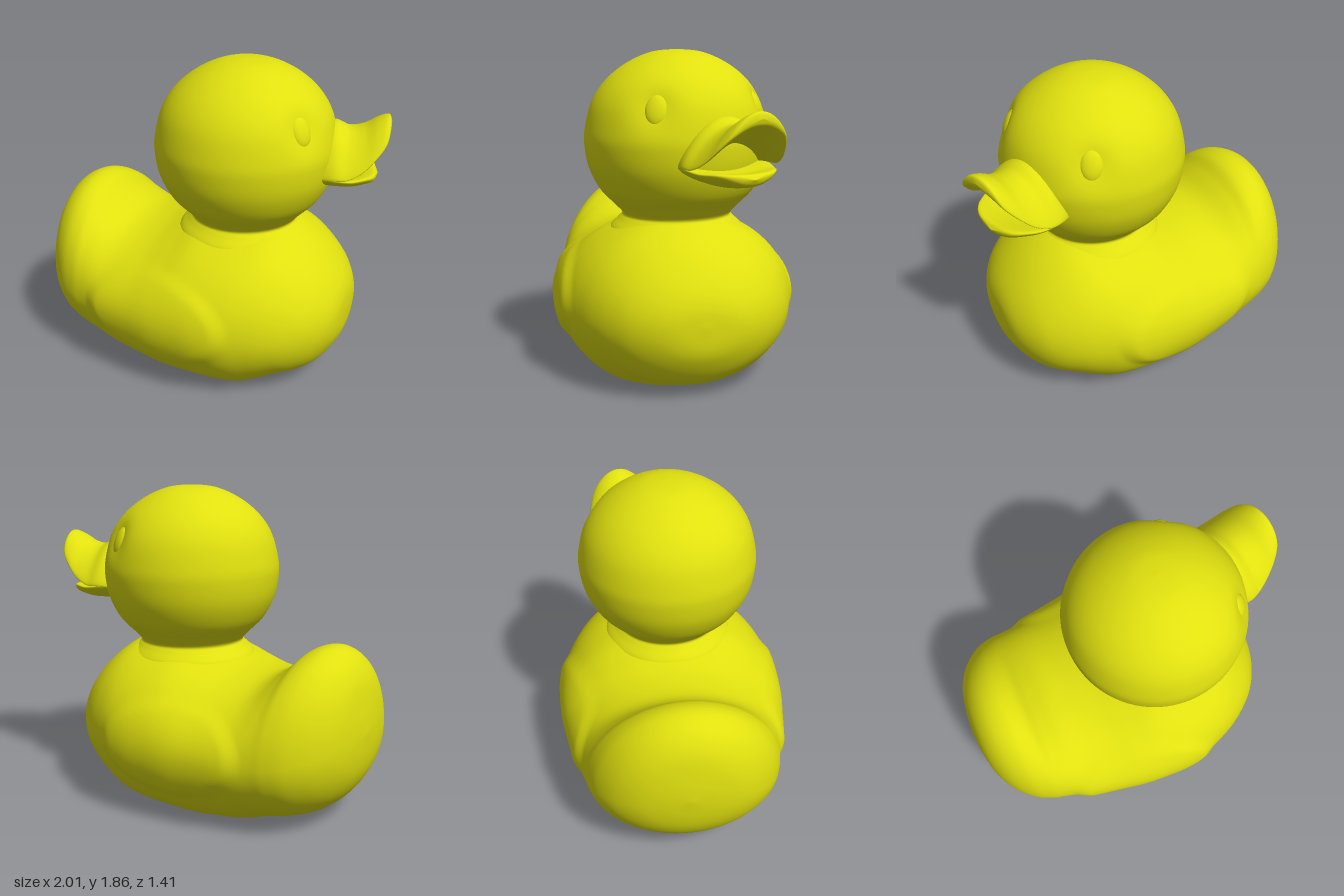
import * as THREE from 'three';
import { mergeVertices } from 'three/addons/utils/BufferGeometryUtils.js';

const material = new THREE.MeshStandardMaterial({ color: 0xe0e00f });

// Weld seams and give smooth normals
function smooth(geometry) {
  geometry.deleteAttribute('uv');
  geometry.deleteAttribute('normal');
  const welded = mergeVertices(geometry, 1e-5);
  welded.computeVertexNormals();
  return welded;
}

function addMesh(parent, name, geometry) {
  const mesh = new THREE.Mesh(geometry, material);
  mesh.name = name;
  parent.add(mesh);
  return mesh;
}

// Skin closed cross-sections running along +x.
// Each station is [x, a, b, c, d]; section(values, angle) returns a point.
function loft(stations, steps, sides, section) {
  const first = new THREE.CatmullRomCurve3(
    stations.map((s) => new THREE.Vector3(s[0], s[1], s[2])), false, 'catmullrom');
  const second = new THREE.CatmullRomCurve3(
    stations.map((s) => new THREE.Vector3(s[0], s[3], s[4])), false, 'catmullrom');
  const positions = [], index = [];
  for (let i = 0; i <= steps; i++) {
    const p = first.getPoint(i / steps), q = second.getPoint(i / steps);
    for (let j = 0; j < sides; j++) {
      positions.push(...section([p.x, p.y, p.z, q.y, q.z], (j / sides) * Math.PI * 2));
      if (i === steps) continue;
      const a = i * sides + j, b = i * sides + ((j + 1) % sides);
      index.push(a, a + sides, b, b, a + sides, b + sides);
    }
  }
  const geometry = new THREE.BufferGeometry();
  geometry.setAttribute('position', new THREE.Float32BufferAttribute(positions, 3));
  geometry.setIndex(index);
  return smooth(geometry);
}

// Body with upturned tail, flat base and softly raised wings
function bodyGeometry() {
  // x, top, bottom, half width, height of widest point
  const stations = [
    [-1, 0.56, 0.56, 0, 0.56],
    [-0.985, 0.7, 0.4, 0.16, 0.54],
    [-0.95, 0.86, 0.28, 0.3, 0.52],
    [-0.88, 0.97, 0.17, 0.42, 0.49],
    [-0.78, 1.02, 0.085, 0.51, 0.46],
    [-0.68, 1.0, 0.04, 0.555, 0.44],
    [-0.6, 0.93, 0.015, 0.575, 0.43],
    [-0.5, 0.855, -0.01, 0.6, 0.42],
    [-0.4, 0.825, -0.05, 0.62, 0.42],
    [-0.25, 0.835, -0.08, 0.645, 0.42],
    [-0.1, 0.88, -0.1, 0.67, 0.42],
    [0.05, 0.935, -0.1, 0.68, 0.42],
    [0.2, 0.95, -0.1, 0.68, 0.42],
    [0.35, 0.955, -0.09, 0.655, 0.42],
    [0.47, 0.945, -0.04, 0.61, 0.42],
    [0.57, 0.9, 0.015, 0.56, 0.42],
    [0.67, 0.825, 0.055, 0.49, 0.42],
    [0.76, 0.73, 0.12, 0.4, 0.43],
    [0.83, 0.63, 0.22, 0.28, 0.43],
    [0.865, 0.54, 0.31, 0.16, 0.44],
    [0.875, 0.44, 0.44, 0, 0.44],
  ];
  return loft(stations, 140, 112, ([x, top, bottom, width, mid], angle) => {
    const s = Math.sin(angle), c = Math.cos(angle);
    const y = Math.max(0, mid + s * (s > 0 ? top - mid : mid - bottom));
    const d = Math.hypot((x + 0.08) / 0.46, (y - 0.45) / 0.27);
    const wing = 0.025 * (1 - THREE.MathUtils.smoothstep(d, 0.82, 1.06));
    return [x, y, c * (width + wing)];
  });
}

// Eye centres in the head's own frame
const eyeAngles = [Math.PI / 4, -Math.PI / 4];
const eyePosition = (a) => new THREE.Vector3(Math.cos(a) * 0.45, 1.55, Math.sin(a) * 0.45);

// Round head and neck, with shallow eye sockets
function headGeometry() {
  const profile = new THREE.SplineCurve([
    [0.4, 0.8], [0.38, 0.86], [0.33, 0.91], [0.312, 0.94], [0.355, 0.99], [0.44, 1.08],
    [0.5, 1.2], [0.523, 1.32], [0.52, 1.42], [0.48, 1.57], [0.4, 1.69], [0.28, 1.785],
    [0.14, 1.845], [0, 1.86],
  ].map(([r, y]) => new THREE.Vector2(r, y)));
  const points = profile.getPoints(80);
  points[80].x = 0;
  const geometry = new THREE.LatheGeometry(points, 112);
  const position = geometry.attributes.position;
  const v = new THREE.Vector3();
  for (let i = 0; i < position.count; i++) {
    v.fromBufferAttribute(position, i);
    let dent = 0;
    for (const a of eyeAngles) {
      dent += 0.035 * Math.exp(-((v.distanceTo(eyePosition(a)) / 0.1) ** 2));
    }
    const r = Math.hypot(v.x, v.z);
    const k = r > 1e-6 ? 1 - dent / r : 1;
    position.setXYZ(i, v.x * k, v.y, v.z * k);
  }
  return smooth(geometry);
}

// Curved bill half: x, middle height, half width, droop of the edges, half thickness
function billGeometry(stations) {
  return loft(stations, 48, 56, ([x, y, width, droop, thick], angle) => {
    const u = Math.cos(angle);
    return [x, y - droop * u * u + thick * Math.sin(angle), width * u];
  });
}

export function createModel() {
  const duck = new THREE.Group();
  duck.name = 'duck';
  addMesh(duck, 'body', bodyGeometry());

  // Head group, turned a little to the right
  const head = new THREE.Group();
  head.name = 'headGroup';
  head.position.x = 0.215;
  head.rotation.y = 0.31;
  duck.add(head);
  addMesh(head, 'head', headGeometry());

  eyeAngles.forEach((a, i) => {
    const eye = addMesh(head, i ? 'rightEye' : 'leftEye', new THREE.SphereGeometry(1, 32, 24));
    eye.scale.set(0.03, 0.085, 0.062);
    eye.position.copy(eyePosition(a));
    eye.rotation.set(0, -a, 0.38, 'YZX');
  });

  // Open bill
  addMesh(head, 'upperBill', billGeometry([
    [0.4, 1.42, 0.25, 0.16, 0.08],
    [0.5, 1.45, 0.28, 0.18, 0.07],
    [0.58, 1.44, 0.27, 0.17, 0.05],
    [0.66, 1.46, 0.245, 0.15, 0.045],
    [0.73, 1.5, 0.21, 0.12, 0.045],
    [0.78, 1.525, 0.165, 0.08, 0.04],
    [0.8, 1.53, 0.1, 0.03, 0.03],
    [0.81, 1.53, 0, 0, 0],
  ]));
  addMesh(head, 'lowerBill', billGeometry([
    [0.4, 1.21, 0.25, -0.05, 0.04],
    [0.5, 1.2, 0.27, -0.06, 0.038],
    [0.6, 1.195, 0.24, -0.05, 0.035],
    [0.68, 1.205, 0.19, -0.04, 0.035],
    [0.73, 1.215, 0.12, -0.02, 0.03],
    [0.755, 1.22, 0, 0, 0],
  ]));
  return duck;
}
